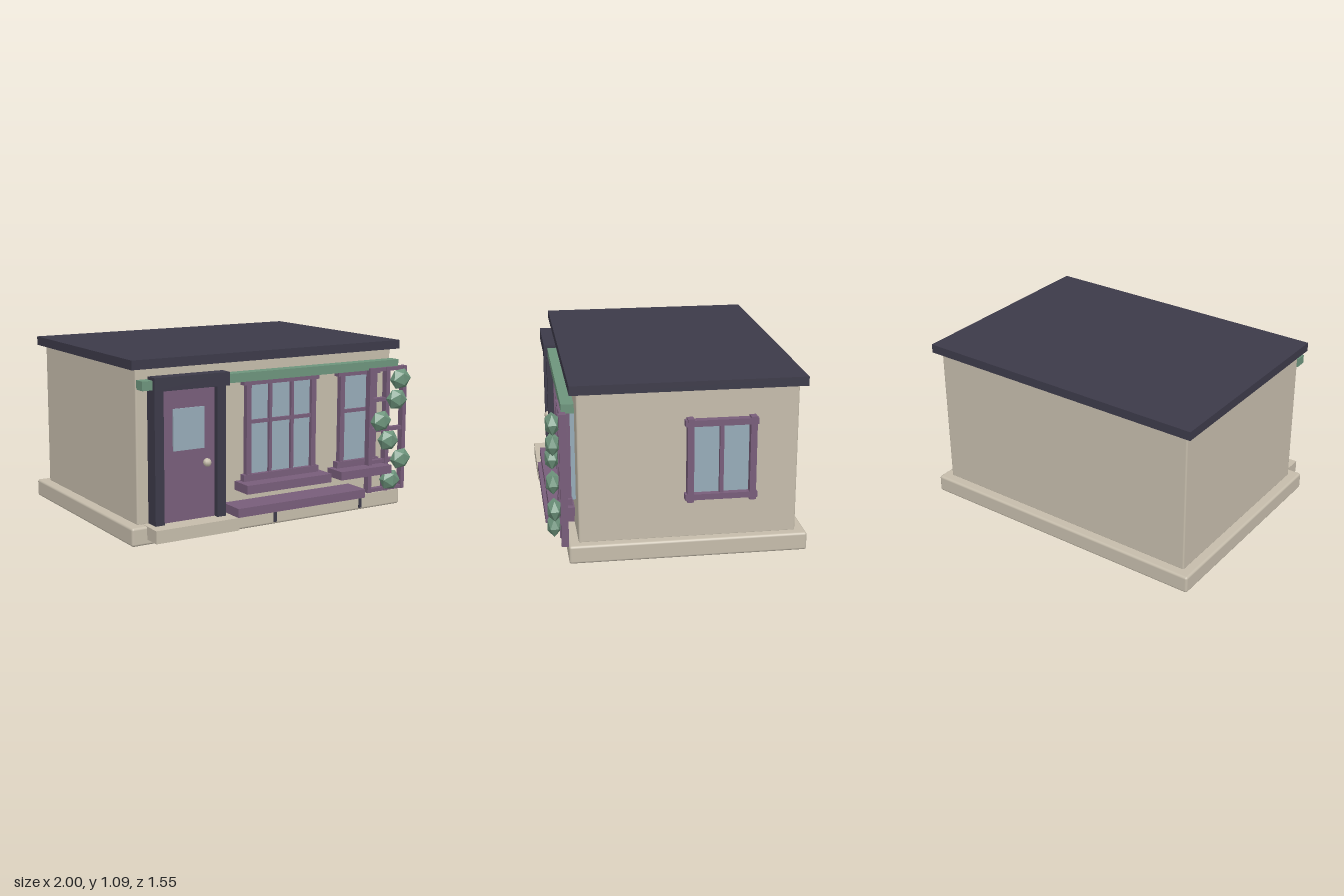
import * as THREE from 'three';
import { RoundedBoxGeometry } from 'three/addons/geometries/RoundedBoxGeometry.js';

const mat = (name, color, flatShading = false) => {
  const m = new THREE.MeshStandardMaterial({ color, flatShading });
  m.name = name;
  return m;
};

export function createModel() {
  const stone = mat('stone', 0xc5bcab);
  const plum = mat('plum', 0x785d7a);
  const slate = mat('slate', 0x3c3a49);
  const glass = mat('glass', 0x96abb8);
  const green = mat('green', 0x6d947c, true);

  const model = new THREE.Group();
  model.name = 'cottage';

  const group = (name) => {
    const g = new THREE.Group();
    g.name = name;
    model.add(g);
    return g;
  };
  // Box given by its min and max on each axis, optionally with rounded edges
  const box = (parent, name, material, [x0, x1], [y0, y1], [z0, z1], radius = 0) => {
    const size = [x1 - x0, y1 - y0, z1 - z0];
    const geo = radius ? new RoundedBoxGeometry(...size, 2, radius) : new THREE.BoxGeometry(...size);
    const mesh = new THREE.Mesh(geo, material);
    mesh.name = name;
    mesh.position.set((x0 + x1) / 2, (y0 + y1) / 2, (z0 + z1) / 2);
    parent.add(mesh);
    return mesh;
  };

  // Main body
  box(model, 'plinth', stone, [-1, 0.973], [0, 0.112], [-0.777, 0.66], 0.015);
  box(model, 'walls', stone, [-0.936, 0.914], [0.105, 1.04], [-0.714, 0.598], 0.01);
  box(model, 'roof', slate, [-0.98, 0.957], [1.032, 1.088], [-0.756, 0.64]);
  box(model, 'fasciaBoard', green, [-0.936, 0.914], [0.915, 0.97], [0.61, 0.685]);
  for (const x of [-0.67, -0.013, 0.645])
    box(model, 'plinthJoint', slate, [x - 0.01, x + 0.01], [0.015, 0.1], [0.655, 0.667]);

  // Door with frame, pane, knob and step
  const door = group('door');
  box(door, 'doorPanel', plum, [-0.805, -0.44], [0.11, 0.91], [0.59, 0.655]);
  box(door, 'doorPane', glass, [-0.727, -0.518], [0.54, 0.79], [0.65, 0.664]);
  box(door, 'doorLintel', slate, [-0.87, -0.37], [0.907, 0.987], [0.622, 0.708]);
  box(door, 'doorPostRight', slate, [-0.862, -0.803], [0.11, 0.91], [0.595, 0.69]);
  box(door, 'doorPostLeft', slate, [-0.444, -0.386], [0.11, 0.91], [0.595, 0.69]);
  const knob = new THREE.Mesh(new THREE.SphereGeometry(0.026, 8, 6), stone);
  knob.name = 'doorKnob';
  knob.position.set(-0.513, 0.455, 0.686);
  door.add(knob);
  box(model, 'doorStep', stone, [-0.903, -0.343], [0.035, 0.113], [0.6, 0.775]);

  // Long low bench below the windows
  box(model, 'bench', plum, [-0.35, 0.598], [0.113, 0.168], [0.598, 0.775]);

  // Front windows: glass, stiles, rails, bars and sill
  const frontWindow = (name, x0, x1, bars) => {
    const g = group(name);
    box(g, 'pane', glass, [x0 + 0.02, x1 - 0.02], [0.32, 0.905], [0.596, 0.636]);
    for (const x of [x0, x1 - 0.034])
      box(g, 'stile', plum, [x, x + 0.034], [0.3, 0.91], [0.625, 0.66]);
    box(g, 'topRail', plum, [x0 - 0.02, x1 + 0.02], [0.888, 0.913], [0.62, 0.665]);
    box(g, 'bottomRail', plum, [x0 - 0.02, x1 + 0.02], [0.297, 0.338], [0.62, 0.665]);
    box(g, 'crossBar', plum, [x0, x1], [0.65, 0.672], [0.63, 0.654]);
    for (const x of bars)
      box(g, 'uprightBar', plum, [x - 0.01, x + 0.01], [0.31, 0.9], [0.63, 0.656]);
    box(g, 'sill', plum, [x0 - 0.055, x1 + 0.055], [0.243, 0.297], [0.61, 0.76]);
  };
  frontWindow('wideWindow', -0.222, 0.288, [-0.047, 0.113]);
  frontWindow('narrowWindow', 0.476, 0.766, []);

  // Window on the left wall
  const side = group('sideWindow');
  box(side, 'pane', glass, [0.91, 0.955], [0.385, 0.85], [-0.42, -0.055]);
  for (const z of [-0.446, -0.075])
    box(side, 'stile', plum, [0.945, 1], [0.36, 0.873], [z, z + 0.038]);
  box(side, 'topRail', plum, [0.948, 0.994], [0.825, 0.863], [-0.456, -0.025]);
  box(side, 'bottomRail', plum, [0.948, 0.994], [0.372, 0.408], [-0.456, -0.025]);
  box(side, 'uprightBar', plum, [0.948, 0.982], [0.39, 0.84], [-0.254, -0.23]);

  // Trellis
  const trellis = group('trellis');
  for (const x of [0.69, 0.823, 0.96])
    box(trellis, 'trellisPost', plum, [x - 0.014, x + 0.014], [0.115, 0.928], [0.66, 0.703]);
  for (const y of [0.128, 0.315, 0.522, 0.72, 0.915])
    box(trellis, 'trellisRail', plum, [0.677, 0.973], [y - 0.012, y + 0.012], [0.662, 0.698]);

  // Climbing plant, one faceted clump per step up the trellis
  const leafGeo = new THREE.IcosahedronGeometry(1, 0).scale(0.078, 0.071, 0.046);
  [0.824, 0.907, 0.803, 0.741, 0.866, 0.892].forEach((x, i) => {
    const leaf = new THREE.Mesh(leafGeo, green);
    leaf.name = 'leafClump';
    leaf.position.set(x, 0.197 + i * 0.131, 0.737);
    leaf.rotation.z = i % 2 ? 0.1 : -0.08;
    trellis.add(leaf);
  });

  return model;
}
